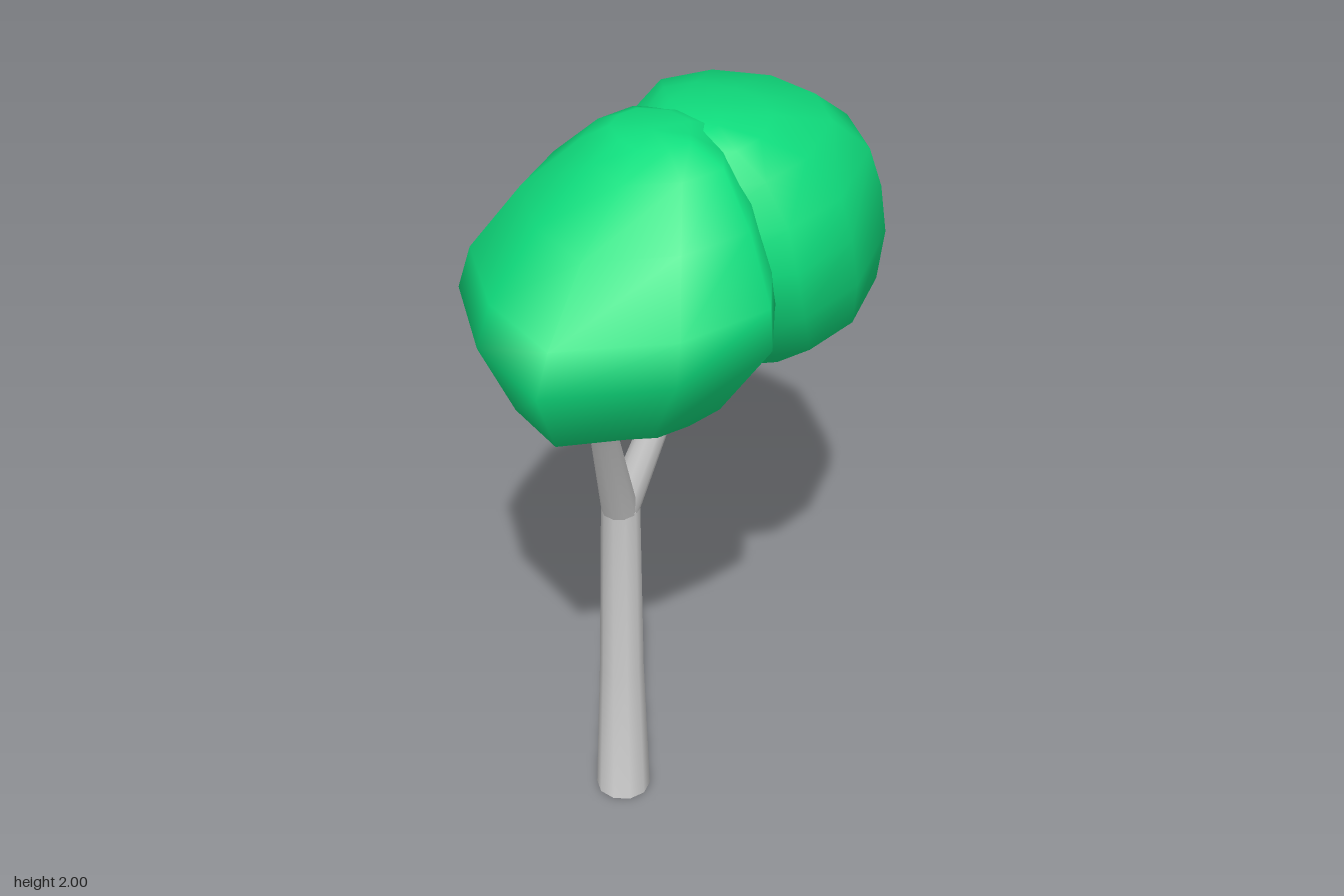
import * as THREE from 'three';

const bark = new THREE.MeshStandardMaterial({ color: 0xcccccc });
const leaf = new THREE.MeshStandardMaterial({ color: 0x10e07f });

// Skin over horizontal rings: each ring is [y, xMin, xMax, zMin, zMax],
// and the outline is a loop of [u, v] in 0..1, running from +x towards +z.
function loft(outline, rings, sharpCaps) {
  const n = outline.length, pos = [], idx = [];
  const addRing = ([y, x0, x1, z0, z1]) => {
    const start = pos.length / 3;
    for (const [u, v] of outline) pos.push(x0 + u * (x1 - x0), y, z0 + v * (z1 - z0));
    return start;
  };
  const starts = rings.map(addRing);
  for (let r = 0; r < rings.length - 1; r++) {
    for (let i = 0; i < n; i++) {
      const j = (i + 1) % n, b = starts[r], t = starts[r + 1];
      idx.push(b + i, t + i, b + j, b + j, t + i, t + j);
    }
  }
  for (const top of [false, true]) {
    const k = top ? rings.length - 1 : 0;
    const [y, x0, x1, z0, z1] = rings[k];
    const s = sharpCaps ? addRing(rings[k]) : starts[k];
    const c = pos.length / 3;
    pos.push((x0 + x1) / 2, y, (z0 + z1) / 2);
    for (let i = 0; i < n; i++) {
      const j = (i + 1) % n;
      idx.push(c, s + (top ? j : i), s + (top ? i : j));
    }
  }
  const g = new THREE.BufferGeometry();
  g.setAttribute('position', new THREE.Float32BufferAttribute(pos, 3));
  g.setIndex(idx);
  g.computeVertexNormals();
  return g;
}

// Scale a plan outline to the 0..1 square
function normalise(points) {
  const box = new THREE.Box2().setFromPoints(points.map(([x, z]) => new THREE.Vector2(x, z)));
  const size = box.getSize(new THREE.Vector2());
  return points.map(([x, z]) => [(x - box.min.x) / size.x, (z - box.min.y) / size.y]);
}

const circle = Array.from({ length: 10 }, (_, i) => {
  const a = (i / 10) * Math.PI * 2;
  return [0.5 + 0.5 * Math.cos(a), 0.5 + 0.5 * Math.sin(a)];
});

// Limb from stations [x, y, z, radius]
const limb = (stations) => loft(circle,
  stations.map(([x, y, z, r]) => [y, x - r, x + r, z - r, z + r]), true);

export function createModel() {
  const tree = new THREE.Group();
  tree.name = 'tree';
  const add = (name, geometry, material) => {
    const mesh = new THREE.Mesh(geometry, material);
    mesh.name = name;
    tree.add(mesh);
  };

  // Bent trunk forking into two branches
  add('trunk', limb([
    [-0.148, 0, 0.033, 0.069], [-0.18, 0.36, -0.005, 0.056], [-0.162, 0.88, 0.012, 0.048],
  ]), bark);
  add('frontBranch', limb([
    [-0.162, 0.87, 0.014, 0.046], [-0.085, 1.19, 0.155, 0.034], [0.01, 1.38, 0.25, 0.028],
  ]), bark);
  add('backBranch', limb([
    [-0.162, 0.87, 0.01, 0.046], [-0.09, 1.2, -0.085, 0.034], [-0.06, 1.38, -0.15, 0.03],
  ]), bark);

  // Two rounded, faceted leaf clumps
  add('frontFoliage', loft(normalise([
    [0.38, 0.14], [0.31, 0.38], [0.11, 0.6], [-0.12, 0.53], [-0.32, 0.37],
    [-0.38, 0.14], [-0.33, -0.09], [-0.1, -0.25], [0.15, -0.22], [0.28, 0],
  ]), [
    [1.28, -0.04, 0.09, 0.07, 0.19],
    [1.31, -0.15, 0.14, -0.01, 0.28],
    [1.42, -0.28, 0.25, -0.13, 0.49],
    [1.62, -0.38, 0.38, -0.25, 0.6],
    [1.71, -0.37, 0.36, -0.24, 0.55],
    [1.86, -0.27, 0.28, -0.18, 0.42],
    [1.96, -0.17, 0.18, -0.1, 0.25],
    [2.0, -0.1, 0.1, -0.01, 0.17],
  ]), leaf);
  add('backFoliage', loft(normalise([
    [0.31, -0.03], [0.15, 0.18], [-0.1, 0.22], [-0.3, -0.07], [-0.38, -0.35],
    [-0.29, -0.51], [-0.11, -0.6], [0.08, -0.59], [0.23, -0.48], [0.32, -0.23],
  ]), [
    [1.29, -0.06, 0.07, -0.29, -0.18],
    [1.33, -0.17, 0.16, -0.4, -0.09],
    [1.42, -0.27, 0.27, -0.6, 0.03],
    [1.57, -0.36, 0.32, -0.6, 0.16],
    [1.7, -0.38, 0.32, -0.58, 0.2],
    [1.8, -0.34, 0.29, -0.55, 0.18],
    [1.9, -0.25, 0.23, -0.43, 0.14],
    [1.96, -0.15, 0.16, -0.24, 0.08],
    [1.985, -0.07, 0.08, -0.11, 0.03],
  ]), leaf);

  return tree;
}
